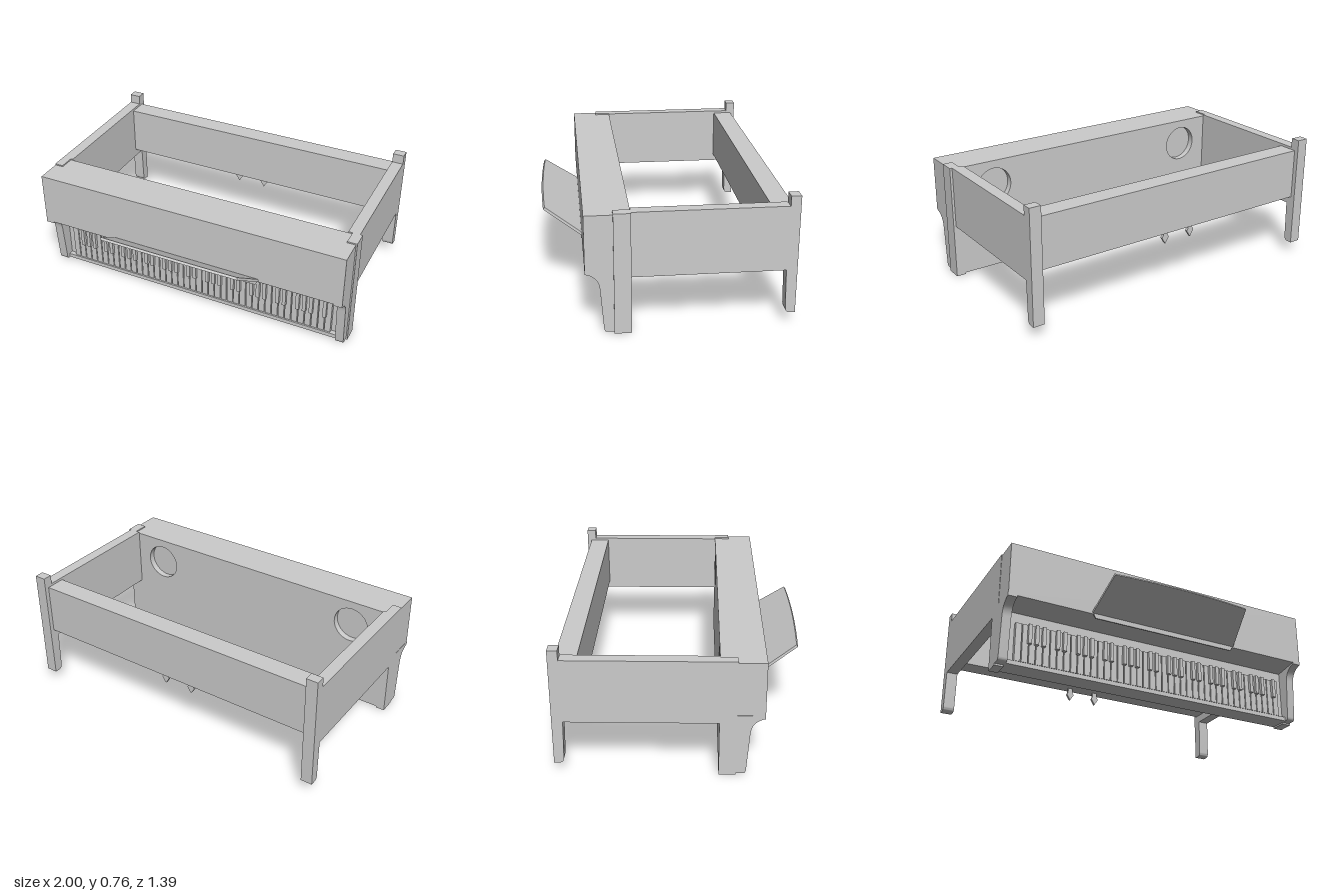
import * as THREE from 'three';
import { toCreasedNormals } from 'three/addons/utils/BufferGeometryUtils.js';

export function createModel() {
  const group = new THREE.Group();
  const material = new THREE.MeshStandardMaterial({ color: 0xcccccc });

  const add = (name, geometry, parent = group) => {
    const mesh = new THREE.Mesh(geometry, material);
    mesh.name = name;
    parent.add(mesh);
    return mesh;
  };

  // Box given by its lower and upper limits on each axis
  const block = (name, x0, x1, y0, y1, z0, z1, parent) => {
    const mesh = add(name, new THREE.BoxGeometry(x1 - x0, y1 - y0, z1 - z0), parent);
    mesh.position.set((x0 + x1) / 2, (y0 + y1) / 2, (z0 + z1) / 2);
    return mesh;
  };

  // Side profile drawn in (z, y), extruded from x0 to x1
  const sideProfile = (name, shape, x0, x1) => {
    const geometry = new THREE.ExtrudeGeometry(shape, {
      depth: x1 - x0, bevelEnabled: false, curveSegments: 10,
    });
    geometry.rotateY(-Math.PI / 2).translate(x1, 0, 0);
    return add(name, toCreasedNormals(geometry, 0.6));
  };

  // Back leg with a rounded front toe
  const legShape = new THREE.Shape();
  legShape.moveTo(-0.697, 0.07);
  legShape.lineTo(-0.665, 0.07);
  legShape.quadraticCurveTo(-0.642, 0.07, -0.641, 0.1);
  legShape.lineTo(-0.635, 0.33);
  legShape.lineTo(-0.635, 0.703);
  legShape.lineTo(-0.64, 0.703);
  legShape.lineTo(-0.64, 0.762);
  legShape.lineTo(-0.697, 0.762);
  legShape.closePath();

  // Curved cheek at each end of the keyboard
  const cheekShape = new THREE.Shape();
  cheekShape.moveTo(0.31, 0.01);
  cheekShape.lineTo(0.35, 0.01);
  cheekShape.quadraticCurveTo(0.365, 0.01, 0.367, 0.035);
  cheekShape.lineTo(0.385, 0.27);
  cheekShape.bezierCurveTo(0.39, 0.325, 0.42, 0.35, 0.465, 0.36);
  cheekShape.lineTo(0.465, 0.38);
  cheekShape.lineTo(0.31, 0.38);
  cheekShape.closePath();

  // Legs, side rails, front posts and cheeks
  const sides = [
    { side: 'right', rail: [-1, -0.93], post: [-1, -0.945], cheek: [-1, -0.945] },
    { side: 'left', rail: [0.915, 0.985], post: [0.94, 1], cheek: [0.94, 0.992] },
  ];
  for (const { side, rail, post, cheek } of sides) {
    sideProfile(`${side}BackLeg`, legShape, ...rail);
    block(`${side}SideRail`, ...rail, 0.33, 0.705, -0.637, 0.215);
    block(`${side}FrontPost`, ...post, 0, 0.705, 0.215, 0.31);
    sideProfile(`${side}Cheek`, cheekShape, ...cheek);
  }

  // Back rail with two hanging pointed pegs
  block('backRail', -0.93, 0.915, 0.38, 0.69, -0.67, -0.55);
  const pegShape = new THREE.Shape([
    [-0.016, 0.1], [-0.016, 0.055], [-0.025, 0.04], [0, 0],
    [0.025, 0.04], [0.016, 0.055], [0.016, 0.1],
  ].map(([x, y]) => new THREE.Vector2(x, y)));
  for (const x of [-0.135, 0.05]) {
    add('peg', new THREE.ExtrudeGeometry(pegShape, { depth: 0.017, bevelEnabled: false }))
      .position.set(x, 0.295, -0.632);
  }

  // Front panel: the rear layer has two round recesses
  const panelShape = new THREE.Shape();
  panelShape.moveTo(-0.945, 0.01);
  panelShape.lineTo(0.94, 0.01);
  panelShape.lineTo(0.94, 0.697);
  panelShape.lineTo(-0.945, 0.697);
  panelShape.closePath();
  for (const x of [-0.725, 0.715]) {
    panelShape.holes.push(new THREE.Path().absarc(x, 0.535, 0.113, 0, Math.PI * 2, true));
  }
  const rear = new THREE.ExtrudeGeometry(panelShape, {
    depth: 0.04, bevelEnabled: false, curveSegments: 24,
  });
  add('recessedPanel', toCreasedNormals(rear, 0.6)).position.z = 0.215;
  block('frontPanel', -0.945, 0.94, 0.01, 0.697, 0.255, 0.31);

  // Deep upper box with a gently sloping underside
  const boxShape = new THREE.Shape();
  boxShape.moveTo(0.31, 0.345);
  boxShape.lineTo(0.465, 0.37);
  boxShape.lineTo(0.465, 0.697);
  boxShape.lineTo(0.31, 0.697);
  boxShape.closePath();
  sideProfile('upperBox', boxShape, -0.998, 0.992);

  // Keyboard: 42 long keys, with short keys grouped in threes and twos
  const keyboard = new THREE.Group();
  keyboard.name = 'keyboard';
  group.add(keyboard);
  block('keySlip', -0.945, 0.94, 0.01, 0.036, 0.31, 0.34, keyboard);
  const count = 42, start = -0.9, pitch = 1.8 / count;
  for (let i = 0; i < count; i++) {
    const x = start + i * pitch;
    block('longKey', x + 0.003, x + pitch - 0.003, 0.04, 0.275, 0.31, 0.335, keyboard);
    if ([2, 3, 4, 6, 0].includes(i % 7) && i > 0) {
      block('shortKey', x - 0.011, x + 0.011, 0.155, 0.275, 0.31, 0.355, keyboard);
    }
  }

  // Tilted music stand with a bowed outer edge and a small lip at its foot
  const standShape = new THREE.Shape();
  standShape.moveTo(-0.485, 0);
  standShape.lineTo(0.478, 0);
  standShape.lineTo(0.438, 0.262);
  standShape.quadraticCurveTo(-0.005, 0.29, -0.45, 0.262);
  standShape.closePath();
  const stand = add('musicStand', new THREE.ExtrudeGeometry(standShape, {
    depth: 0.016, bevelEnabled: false, curveSegments: 16,
  }));
  stand.position.set(0, 0.386, 0.46);
  stand.rotation.x = 0.954;
  const lipShape = new THREE.Shape([
    [-0.465, 0.345], [0.46, 0.345], [0.478, 0.385], [-0.485, 0.385],
  ].map(([x, y]) => new THREE.Vector2(x, y)));
  add('standLip', new THREE.ExtrudeGeometry(lipShape, { depth: 0.008, bevelEnabled: false }))
    .position.z = 0.459;

  return group;
}
